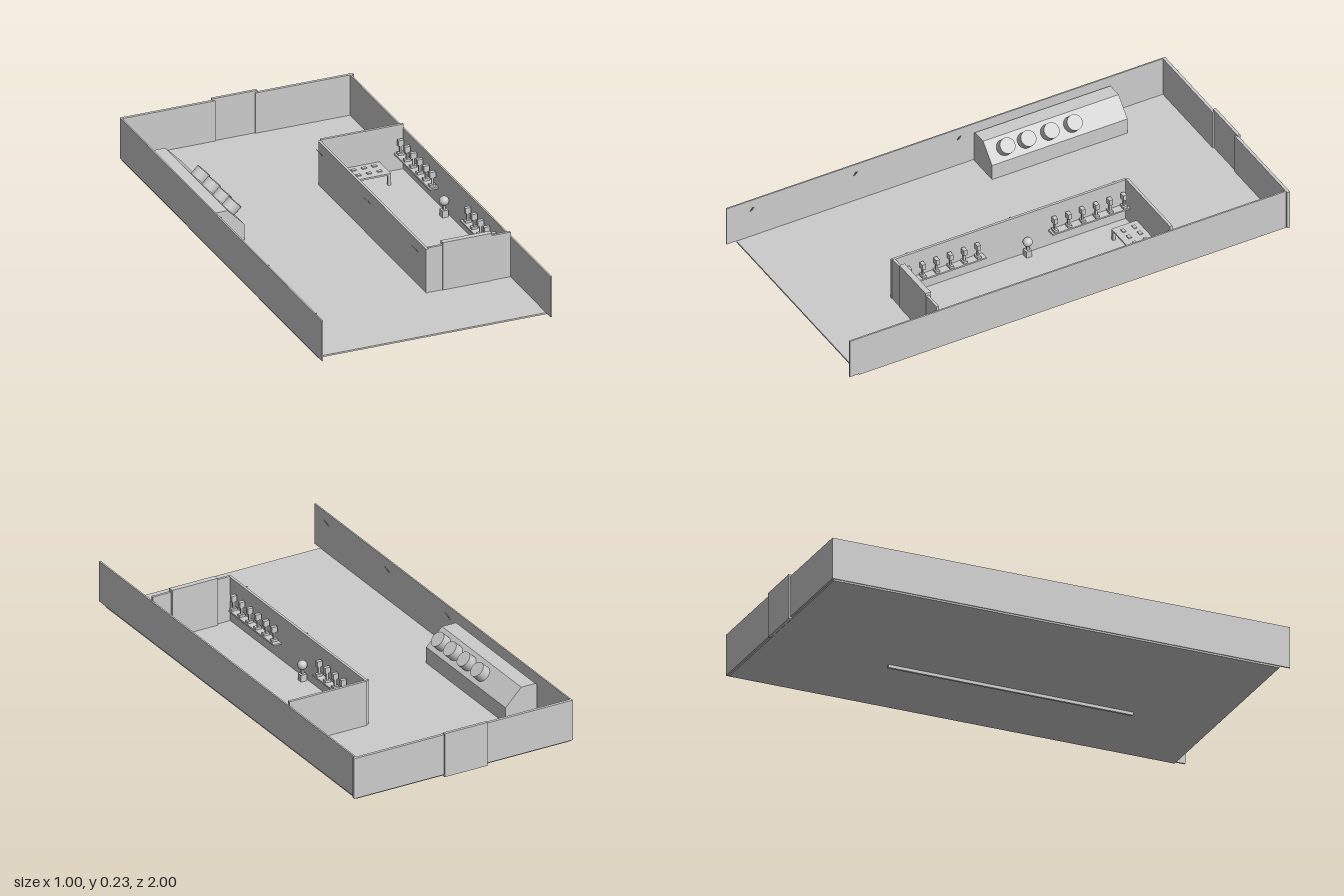
import * as THREE from 'three';

const material = new THREE.MeshStandardMaterial({ color: 0xcccccc, flatShading: true });
const smooth = new THREE.MeshStandardMaterial({ color: 0xcccccc });

function add(parent, name, geometry, mat = material) {
  const mesh = new THREE.Mesh(geometry, mat);
  mesh.name = name;
  parent.add(mesh);
  return mesh;
}

// Box given by its extents along each axis
function slab(parent, name, [x0, x1], [y0, y1], [z0, z1]) {
  const mesh = add(parent, name, new THREE.BoxGeometry(x1 - x0, y1 - y0, z1 - z0));
  mesh.position.set((x0 + x1) / 2, (y0 + y1) / 2, (z0 + z1) / 2);
  return mesh;
}

function group(parent, name) {
  const g = new THREE.Group();
  g.name = name;
  parent.add(g);
  return g;
}

// Small tilted plates along a wall
function wallPlates(parent, name, x, y, zs, tilt) {
  for (const z of zs) {
    const plate = add(parent, name, new THREE.BoxGeometry(0.003, 0.038, 0.007));
    plate.position.set(x, y, z);
    plate.rotation.z = tilt;
  }
}

function addOuterRoom(root) {
  const room = group(root, 'outerRoom');
  slab(room, 'floor', [-0.5, 0.487], [0.013, 0.02], [-0.985, 0.955]);
  slab(room, 'rightWall', [-0.504, -0.498], [0.02, 0.197], [-0.99, 1]);
  slab(room, 'leftWall', [0.483, 0.49], [0.02, 0.197], [-0.985, 1]);
  slab(room, 'backWallRight', [-0.504, -0.098], [0.02, 0.197], [-0.993, -0.98]);
  slab(room, 'backWallLeft', [0.076, 0.5], [0.02, 0.197], [-0.993, -0.98]);
  slab(room, 'backDoor', [-0.108, 0.088], [0.012, 0.204], [-1, -0.987]);
  wallPlates(room, 'wallPlate', -0.488, 0.161, [-0.05, 0.42, 0.89], -0.55);
}

function addConsole(root) {
  const console_ = group(root, 'console');
  // Sloped-front cabinet, extruded along the wall
  const profile = new THREE.Shape([
    [-0.492, 0.02], [-0.348, 0.02], [-0.348, 0.09], [-0.42, 0.163], [-0.485, 0.163], [-0.492, 0.155],
  ].map(([x, y]) => new THREE.Vector2(x, y)));
  const body = add(console_, 'cabinet', new THREE.ExtrudeGeometry(profile, { depth: 0.615, bevelEnabled: false }));
  body.position.z = -0.735;
  // Round drums standing out of the slope
  for (const z of [-0.5, -0.395, -0.29, -0.195]) {
    const drum = add(console_, 'drum', new THREE.CylinderGeometry(0.033, 0.033, 0.05, 24), smooth);
    drum.position.set(-0.373, 0.139, z);
    drum.rotation.z = -Math.PI / 4;
  }
}

function addShelf(parent, x0, x1, z0, z1, items) {
  const shelf = group(parent, 'shelf');
  slab(shelf, 'shelfBoard', [x0, x1], [0.088, 0.095], [z0, z1]);
  const xm = (x0 + x1) / 2;
  // Little figures on stands
  for (const z of items) {
    slab(shelf, 'standBase', [xm - 0.013, xm + 0.013], [0.095, 0.105], [z - 0.009, z + 0.009]);
    slab(shelf, 'standPost', [xm - 0.004, xm + 0.004], [0.105, 0.135], [z - 0.004, z + 0.004]);
    slab(shelf, 'standHead', [xm - 0.012, xm + 0.012], [0.135, 0.16], [z - 0.008, z + 0.008]);
  }
}

function addInnerRoom(root) {
  const room = group(root, 'innerRoom');
  slab(room, 'innerSideWall', [0.119, 0.13], [0, 0.212], [-0.46, 0.605]);
  slab(room, 'innerBackWall', [0.13, 0.485], [0.018, 0.216], [-0.468, -0.456]);
  slab(room, 'innerFrontWall', [0.13, 0.485], [0.018, 0.216], [0.592, 0.603]);
  slab(room, 'innerDoor', [0.191, 0.402], [0.018, 0.228], [0.582, 0.606]);
  wallPlates(room, 'innerWallPlate', 0.107, 0.18, [-0.42, 0.05, 0.52], 0.7);

  // Shelves on both long sides
  const spaced = (start) => Array.from({ length: 6 }, (_, i) => start + i * 0.0625);
  for (const [x0, x1] of [[0.13, 0.165], [0.444, 0.483]]) {
    addShelf(room, x0, x1, -0.456, -0.106, spaced(-0.437));
    addShelf(room, x0, x1, 0.196, 0.546, spaced(0.225));
  }

  // Balls on pedestals
  for (const x of [0.15, 0.46]) {
    const pedestal = group(room, 'pedestal');
    slab(pedestal, 'pedestalBase', [x - 0.013, x + 0.013], [0.02, 0.05], [-0.013, 0.013]);
    slab(pedestal, 'pedestalNeck', [x - 0.005, x + 0.005], [0.05, 0.075], [-0.005, 0.005]);
    add(pedestal, 'ball', new THREE.SphereGeometry(0.02, 20, 14), smooth).position.set(x, 0.088, 0);
  }

  // Table by the back wall with small pieces on top
  const table = group(room, 'table');
  slab(table, 'tableTop', [0.22, 0.38], [0.064, 0.071], [-0.455, -0.34]);
  for (const x of [0.226, 0.374]) {
    for (const z of [-0.449, -0.346]) {
      slab(table, 'tableLeg', [x - 0.006, x + 0.006], [0.02, 0.064], [z - 0.006, z + 0.006]);
    }
  }
  for (const x of [0.255, 0.3, 0.345]) {
    for (const z of [-0.425, -0.375]) {
      slab(table, 'tablePiece', [x - 0.01, x + 0.01], [0.071, 0.075], [z - 0.007, z + 0.007]);
    }
  }
}

export function createModel() {
  const root = new THREE.Group();
  root.name = 'exhibitionHall';
  addOuterRoom(root);
  addConsole(root);
  addInnerRoom(root);
  return root;
}
